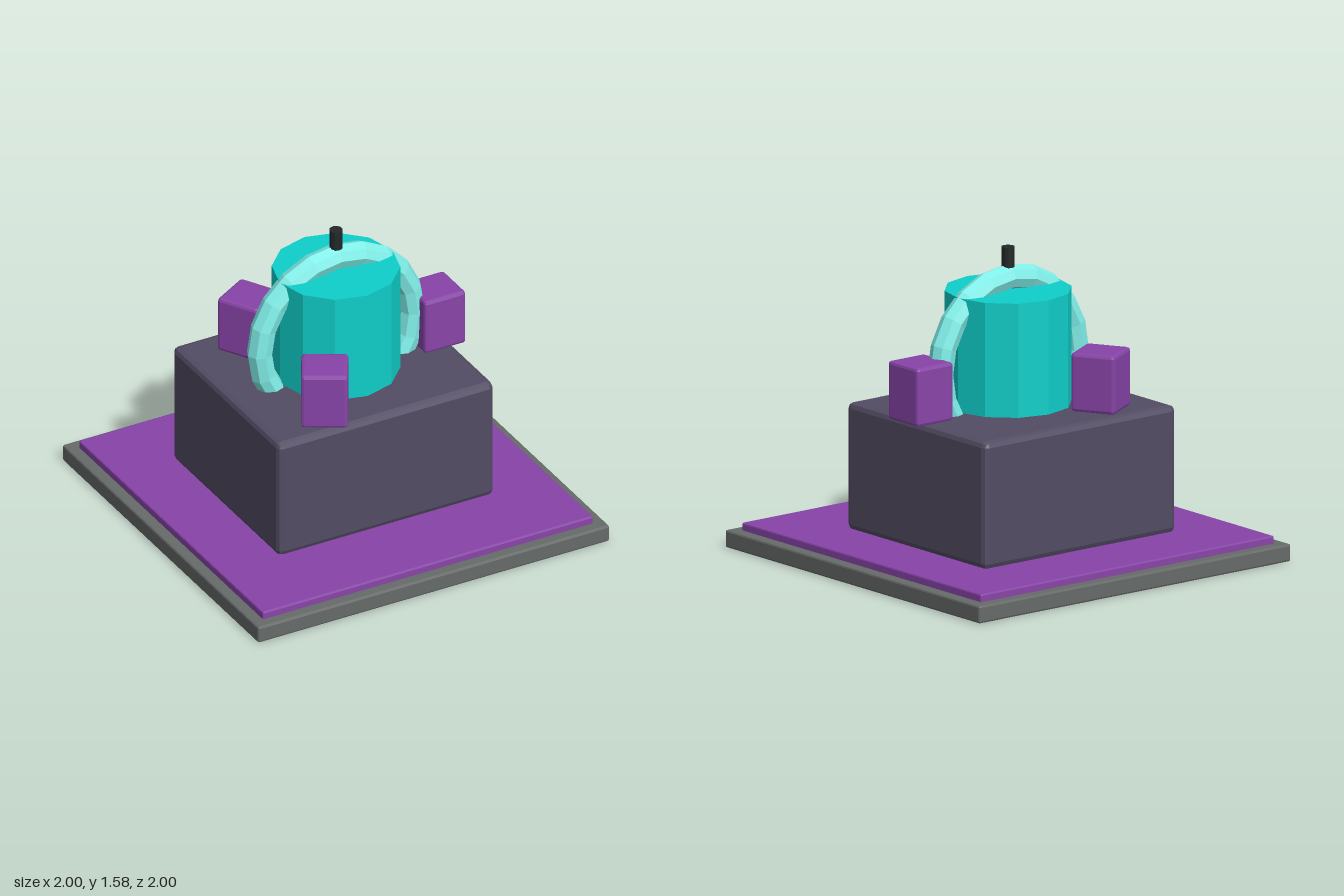
import * as THREE from 'three';
import { RoundedBoxGeometry } from 'three/addons/geometries/RoundedBoxGeometry.js';

const paint = (color) => new THREE.MeshStandardMaterial({ color, flatShading: true });

export function createModel() {
  const model = new THREE.Group();
  const grey = paint(0x666a68);
  const purple = paint(0x8844a8);
  const slate = paint(0x524c63);
  const teal = paint(0x0fcfca);
  const paleTeal = paint(0x80eee8);
  const black = paint(0x24282a);

  const add = (name, geometry, material, x, y, z) => {
    const mesh = new THREE.Mesh(geometry, material);
    mesh.name = name;
    mesh.position.set(x, y, z);
    model.add(mesh);
    return mesh;
  };
  // Box with a single chamfer along its edges, standing on the given height
  const block = (name, [w, h, d], bevel, material, x, bottom, z) =>
    add(name, new RoundedBoxGeometry(w, h, d, 1, bevel), material, x, bottom + h / 2, z);

  // Stepped ground plates
  block('basePlate', [2, 0.09, 2], 0.01, grey, 0, 0, 0);
  block('floorPanel', [1.88, 0.05, 1.88], 0.008, purple, 0, 0.08, 0);

  // Main body, set slightly towards the back
  block('body', [1.23, 0.655, 1.09], 0.03, slate, 0, 0.125, -0.027);

  // Central drum, ring arching over it, and pin on top
  add('drum', new THREE.CylinderGeometry(0.32, 0.32, 0.6, 12), teal, 0, 1.065, 0);
  add('ring', new THREE.TorusGeometry(0.435, 0.065, 8, 20), paleTeal, 0, 0.99, 0);
  add('pin', new THREE.CylinderGeometry(0.034, 0.034, 0.11, 10), black, 0, 1.525, 0);

  // Three blocks spaced around the drum on an oval
  for (let i = 0; i < 3; i++) {
    const angle = (i * Math.PI * 2) / 3;
    const cube = block('outerBlock' + (i + 1), [0.234, 0.3, 0.234], 0.016, purple,
      0.56 * Math.cos(angle), 0.78, 0.445 * Math.sin(angle));
    cube.rotation.y = -angle;
  }
  return model;
}
